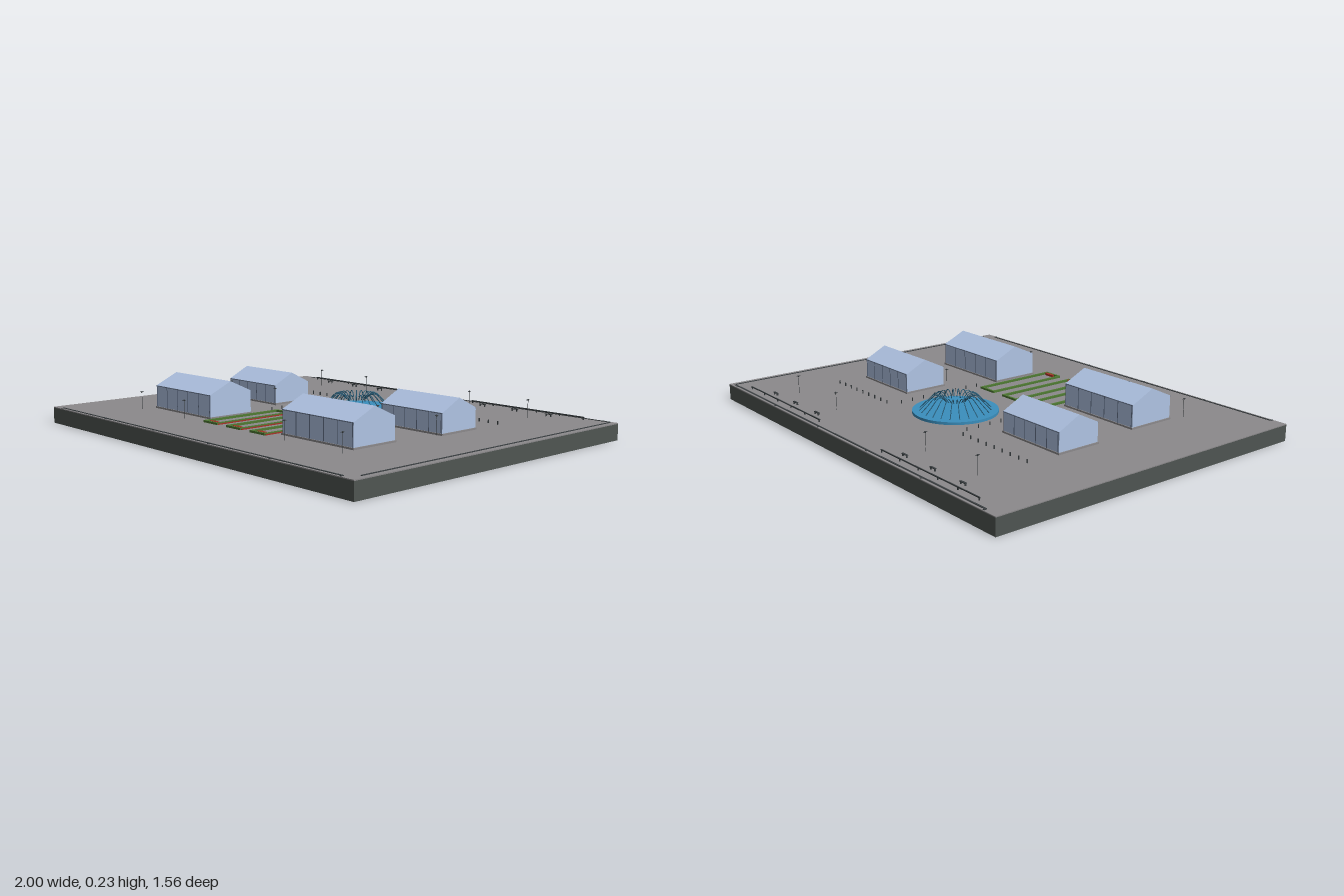
import * as THREE from 'three';

const mat = (name, color, extra = {}) => {
  const m = new THREE.MeshStandardMaterial({ color, ...extra });
  m.name = name;
  return m;
};

export function createModel() {
  const M = {
    base: mat('dark base', 0x4f5552),
    paving: mat('grey paving', 0x8c8a8c),
    glass: mat('pale blue glass', 0xb0c4e4),
    metal: mat('dark metal', 0x3a3f42),
    frame: mat('blue grey frame', 0x66748c),
    water: mat('pool blue', 0x3a8fbe),
    jet: mat('jet blue', 0x2b607c),
    hedge: mat('hedge green', 0x4f7a33),
    flower: mat('flower red', 0xa83228),
  };
  const root = new THREE.Group();
  root.name = 'plaza';
  const G = 0.075; // ground level

  const add = (parent, name, geo, material, x = 0, y = 0, z = 0) => {
    const m = new THREE.Mesh(geo, material);
    m.name = name;
    m.position.set(x, y, z);
    parent.add(m);
    return m;
  };
  // box given by its centre in plan and its bottom height
  const box = (parent, name, material, w, h, d, x, y, z) =>
    add(parent, name, new THREE.BoxGeometry(w, h, d), material, x, y + h / 2, z);

  // slab
  box(root, 'base', M.base, 2, 0.071, 1.56, 0, 0, 0);
  box(root, 'paving', M.paving, 2, 0.004, 1.56, 0, 0.071, 0);

  // gabled glass houses with mullions on the long walls
  const house = (name, x, z, w, d, eave, ridge) => {
    const g = new THREE.Group();
    g.name = name;
    g.position.set(x, 0, z);
    root.add(g);
    box(g, 'plinth', M.paving, w + 0.008, 0.008, d + 0.008, 0, G, 0);
    const s = new THREE.Shape([
      new THREE.Vector2(-d / 2, G + 0.008), new THREE.Vector2(d / 2, G + 0.008),
      new THREE.Vector2(d / 2, eave), new THREE.Vector2(0, ridge), new THREE.Vector2(-d / 2, eave),
    ]);
    const geo = new THREE.ExtrudeGeometry(s, { depth: w, bevelEnabled: false });
    geo.translate(0, 0, -w / 2).rotateY(Math.PI / 2);
    add(g, 'glassHall', geo, M.glass);
    for (const side of [-1, 1]) {
      for (let i = 0; i <= 5; i++) {
        box(g, 'mullion', M.frame, 0.004, eave - G - 0.008, 0.004,
          (i / 5 - 0.5) * (w - 0.01), G + 0.008, side * (d / 2));
      }
      box(g, 'eaveRail', M.frame, w, 0.003, 0.003, 0, eave - 0.004, side * (d / 2));
    }
  };
  for (const s of [-1, 1]) {
    house('frontHouse', s * 0.445, 0.333, 0.41, 0.222, 0.18, 0.231);
    house('backHouse', s * 0.517, -0.113, 0.34, 0.205, 0.167, 0.218);
  }

  // round fountain with a ring of arching jets
  const fountain = new THREE.Group();
  fountain.name = 'fountain';
  fountain.position.set(0, 0, -0.2);
  root.add(fountain);
  add(fountain, 'pool', new THREE.CylinderGeometry(0.188, 0.188, 0.012, 48), M.water, 0, G + 0.006, 0);
  const arc = new THREE.CatmullRomCurve3([
    [0.157, 0.087], [0.125, 0.118], [0.09, 0.15], [0.066, 0.147], [0.045, 0.125],
  ].map(([r, y]) => new THREE.Vector3(r, y, 0)));
  const jetGeo = new THREE.TubeGeometry(arc, 10, 0.002, 5);
  for (let i = 0; i < 24; i++) {
    add(fountain, 'jet', jetGeo, M.jet).rotation.y = (i / 24) * Math.PI * 2;
  }

  // hedge-framed beds with red flowers
  for (const x of [-0.158, 0, 0.158]) {
    const g = new THREE.Group();
    g.name = 'flowerBed';
    g.position.set(x, 0, 0.303);
    root.add(g);
    for (const s of [-1, 1]) {
      box(g, 'sideHedge', M.hedge, 0.01, 0.009, 0.41, s * 0.043, G, 0);
      box(g, 'endHedge', M.hedge, 0.096, 0.009, 0.01, 0, G, s * 0.2);
    }
    box(g, 'flowerStrip', M.flower, 0.002, 0.005, 0.4, 0.0485, G, 0);
    const patch = add(g, 'flowerPatch', new THREE.CylinderGeometry(1, 1, 0.009, 12), M.flower, 0.008, G + 0.005, 0.186);
    patch.scale.set(0.03, 1, 0.009);
  }

  // border lines along the edges of the paving
  box(root, 'backBorder', M.metal, 1.9, 0.002, 0.008, 0.02, G, -0.765);
  box(root, 'frontBorder', M.metal, 1.86, 0.002, 0.008, 0, G, 0.765);
  box(root, 'sideBorder', M.metal, 0.008, 0.002, 1.48, 0.972, G, -0.02);
  for (const s of [-1, 1]) {
    for (let i = 0; i < 6; i++) {
      box(root, 'borderJoint', M.metal, 0.008, 0.002, 0.012, -0.93 + i * 0.372, G, s * 0.77);
    }
  }

  // railings, benches, lamps and bollards, mirrored left to right
  const poleGeo = new THREE.CylinderGeometry(0.001, 0.001, 0.08, 6);
  const bulbGeo = new THREE.SphereGeometry(0.004, 8, 6);
  for (const s of [-1, 1]) {
    box(root, 'railing', M.metal, 0.625, 0.004, 0.005, s * 0.547, G + 0.009, -0.735);
    for (let i = 0; i < 6; i++) {
      box(root, 'railingPost', M.metal, 0.004, 0.01, 0.004, s * (0.24 + i * 0.123), G, -0.735);
    }
    for (const x of [0.335, 0.52, 0.705]) {
      box(root, 'benchSeat', M.metal, 0.034, 0.003, 0.009, s * x, G + 0.009, -0.692);
      for (const e of [-1, 1]) {
        box(root, 'benchLeg', M.metal, 0.003, 0.009, 0.007, s * x + e * 0.013, G, -0.692);
      }
    }
    for (const x of [0.335, 0.665]) {
      for (const z of [-0.595, 0, 0.515]) {
        add(root, 'lampPole', poleGeo, M.metal, s * x, G + 0.04, z);
        add(root, 'lampBulb', bulbGeo, M.metal, s * x, G + 0.08, z);
        box(root, 'lampArm', M.metal, 0.003, 0.002, 0.018, s * x, G + 0.079, z);
      }
    }
    for (let i = 0; i < 9; i++) {
      box(root, 'bollard', M.metal, 0.004, 0.016, 0.004, s * (0.28 + i * 0.05), G, -0.37);
    }
    for (let i = 0; i < 8; i++) {
      box(root, 'pathBollard', M.metal, 0.003, 0.016, 0.003, s * 0.24, G, -0.32 + i * 0.06);
    }
  }
  return root;
}
